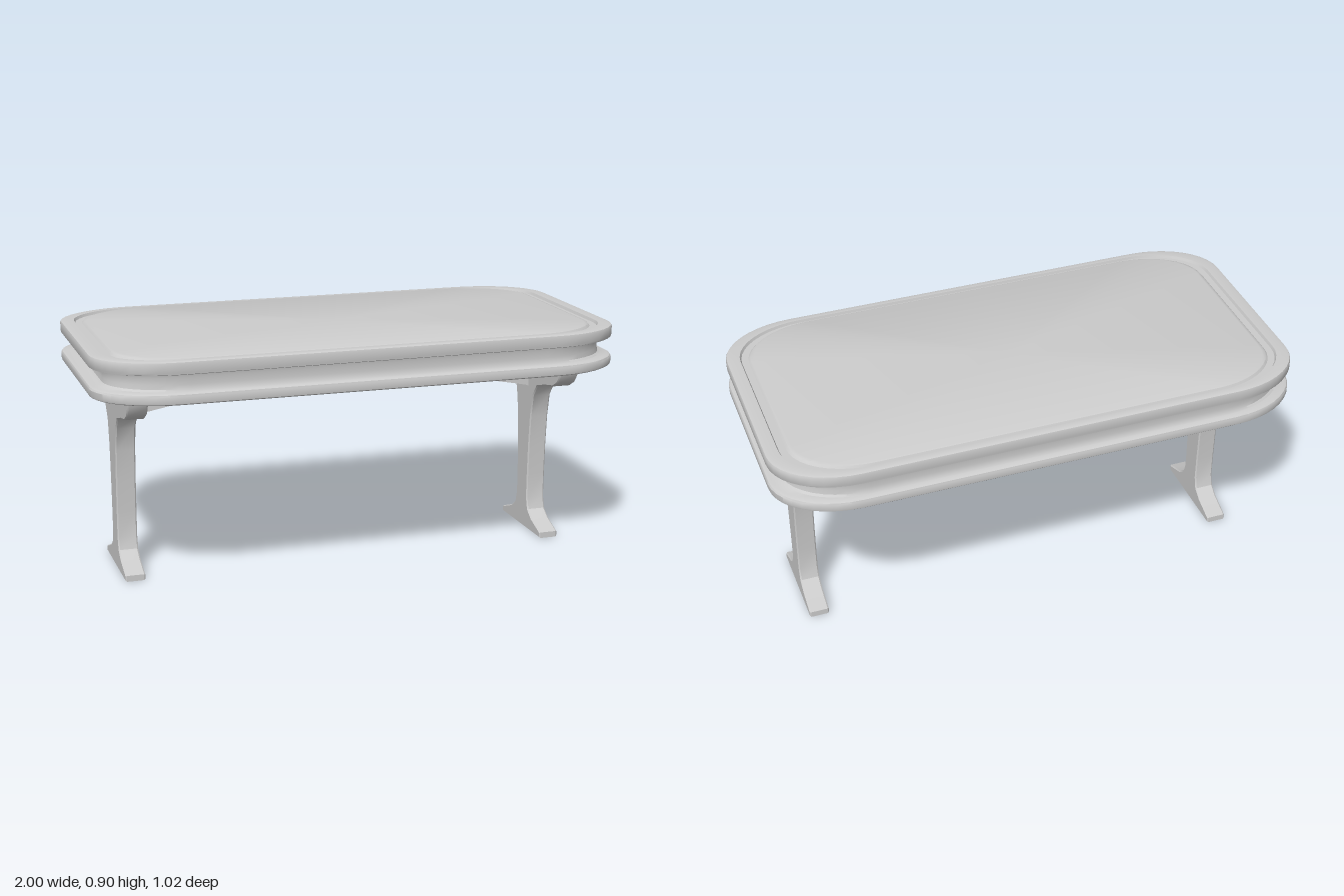
import * as THREE from 'three';
import { toCreasedNormals } from 'three/addons/utils/BufferGeometryUtils.js';

const material = new THREE.MeshStandardMaterial({ color: 0xcccccc });

function part(name, geometry) {
  const mesh = new THREE.Mesh(toCreasedNormals(geometry, 0.6), material);
  mesh.name = name;
  return mesh;
}

// Rounded rectangle outline with elliptical corners
function outline(halfX, halfZ, rx, rz, steps) {
  const points = [];
  for (let corner = 0; corner < 4; corner++) {
    const sx = corner === 0 || corner === 3 ? 1 : -1;
    const sz = corner < 2 ? 1 : -1;
    for (let i = 0; i <= steps; i++) {
      const a = (corner + i / steps) * Math.PI / 2;
      points.push([sx * (halfX - rx) + rx * Math.cos(a), sz * (halfZ - rz) + rz * Math.sin(a)]);
    }
  }
  return points;
}

// Stacks scaled copies of the outline, given as [scale, y] from bottom to top
function loft(points, rings) {
  const n = points.length, position = [], index = [];
  for (const [s, y] of rings) for (const [x, z] of points) position.push(x * s, y, z * s);
  for (let r = 0; r < rings.length - 1; r++) {
    for (let i = 0; i < n; i++) {
      const a = r * n + i, b = r * n + (i + 1) % n;
      index.push(a, a + n, b, b, a + n, b + n);
    }
  }
  const g = new THREE.BufferGeometry();
  g.setAttribute('position', new THREE.Float32BufferAttribute(position, 3));
  g.setIndex(index);
  return g;
}

// Half profile of a trestle leg, as [z, y] from foot to bracket
const legProfile = [
  [0.187, 0], [0.187, 0.023], [0.15, 0.037], [0.1, 0.055], [0.062, 0.083], [0.049, 0.13],
  [0.05, 0.23], [0.054, 0.35], [0.063, 0.47], [0.08, 0.56], [0.117, 0.607], [0.19, 0.627],
  [0.262, 0.64], [0.3, 0.661], [0.324, 0.692], [0.333, 0.725], [0.333, 0.75],
];

function legGeometry() {
  const mirrored = legProfile.map(([z, y]) => [-z, y]).reverse();
  const shape = new THREE.Shape([...legProfile, ...mirrored].map(([z, y]) => new THREE.Vector2(z, y)));
  const g = new THREE.ExtrudeGeometry(shape, {
    depth: 0.065, bevelEnabled: true, bevelThickness: 0.005, bevelSize: 0.004, bevelOffset: -0.004, bevelSegments: 1,
  });
  return g.translate(0, 0, -0.0325).rotateY(Math.PI / 2);
}

export function createModel() {
  const group = new THREE.Group();
  group.name = 'table';

  // Top: lower moulding, recessed waist, upper moulding and grooved panel
  group.add(part('tabletop', loft(outline(1, 0.51, 0.29, 0.21, 10), [
    [0, 0.743], [0.99, 0.743], [0.998, 0.747], [1, 0.753], [1, 0.774], [0.996, 0.78], [0.985, 0.784],
    [0.96, 0.786], [0.951, 0.793], [0.948, 0.81], [0.948, 0.835], [0.953, 0.847],
    [0.985, 0.849], [0.997, 0.852], [1, 0.859], [1, 0.888], [0.997, 0.895], [0.985, 0.898],
    [0.95, 0.898], [0.945, 0.888], [0.92, 0.888], [0.912, 0.897], [0.9, 0.9], [0, 0.9],
  ])));

  // Pair of trestle legs
  for (const [name, side] of [['leftLeg', 1], ['rightLeg', -1]]) {
    const leg = part(name, legGeometry());
    leg.position.x = side * 0.834;
    group.add(leg);
  }

  // Arched stretcher beam, with small flares where it meets the legs
  const arch = new THREE.Shape();
  arch.moveTo(-0.81, 0.75);
  arch.lineTo(-0.81, 0.585);
  arch.lineTo(-0.785, 0.595);
  arch.quadraticCurveTo(-0.36, 0.682, 0, 0.685);
  arch.quadraticCurveTo(0.36, 0.682, 0.785, 0.595);
  arch.lineTo(0.81, 0.585);
  arch.lineTo(0.81, 0.75);
  const beam = new THREE.ExtrudeGeometry(arch, { depth: 0.07, bevelEnabled: false, curveSegments: 12 });
  group.add(part('stretcherBeam', beam.translate(0, 0, -0.035)));

  return group;
}
